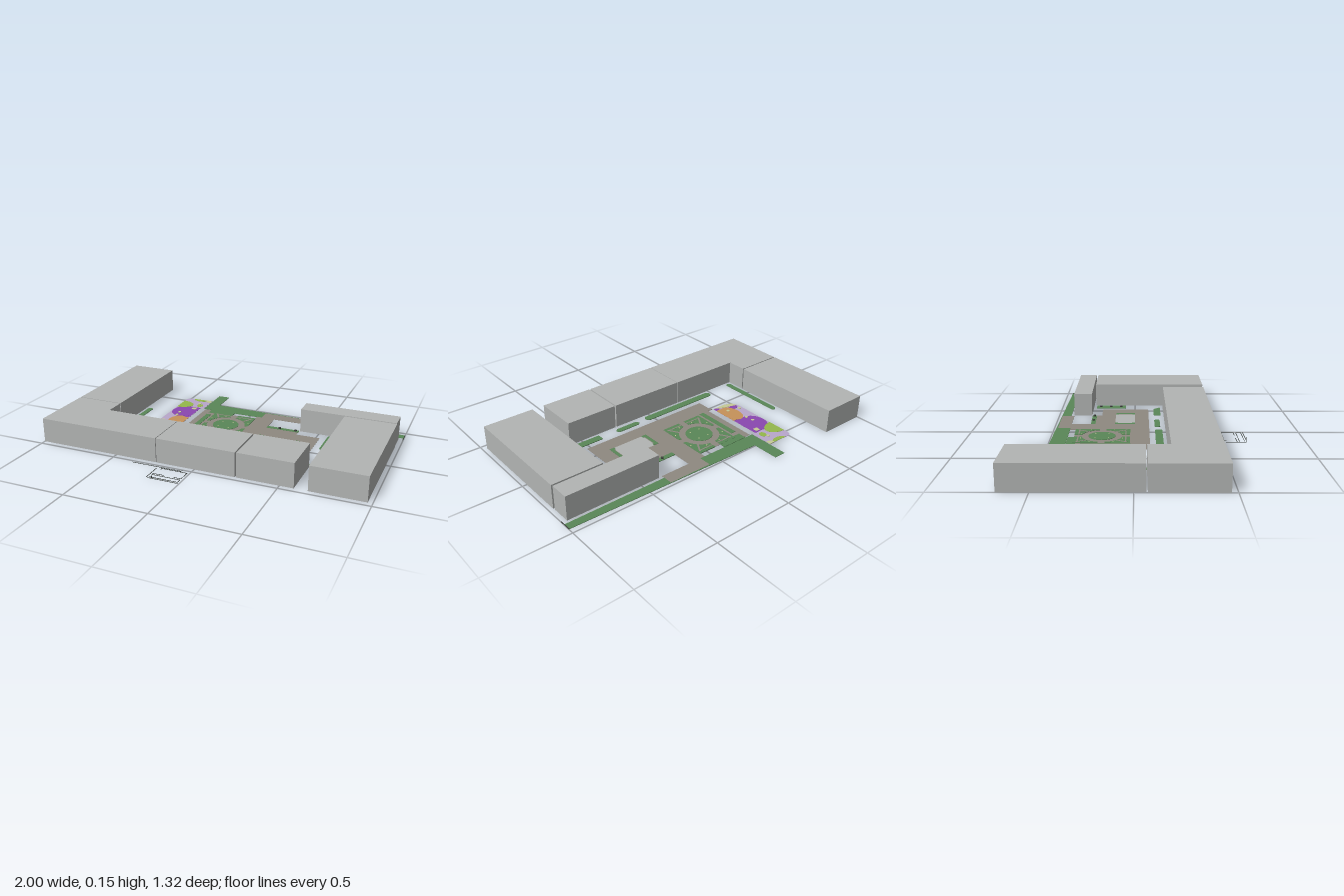
import * as THREE from 'three';

const mat = (name, color) => {
  const m = new THREE.MeshStandardMaterial({ color });
  m.name = name;
  return m;
};

export function createModel() {
  const root = new THREE.Group();
  root.name = 'courtyardSitePlan';
  const M = {
    wall: mat('building grey', 0xb2b4b3),
    paving: mat('paving taupe', 0x8f8981),
    lawn: mat('lawn green', 0x5a8757),
    lilac: mat('lilac', 0xb9a8cb),
    purple: mat('purple', 0x8a47b0),
    orange: mat('orange', 0xc6925a),
    lime: mat('lime', 0x94b84a),
    khaki: mat('khaki', 0xc6ca96),
    dark: mat('dark grey', 0x3c403c),
  };

  // Plan outline in (x, z), extruded upward from y0 to y1
  const slab = (name, material, shape, y0, y1, parent = root) => {
    const g = new THREE.ExtrudeGeometry(shape, { depth: y1 - y0, bevelEnabled: false, curveSegments: 20 });
    g.rotateX(-Math.PI / 2).translate(0, y0, 0);
    const mesh = new THREE.Mesh(g, material);
    mesh.name = name;
    parent.add(mesh);
    return mesh;
  };
  const poly = (pts) => new THREE.Shape(pts.map(([x, z]) => new THREE.Vector2(x, -z)));
  const rect = (x0, x1, z0, z1) => poly([[x0, z0], [x0, z1], [x1, z1], [x1, z0]]);
  const oval = (x, z, rx, rz, a0 = 0, a1 = Math.PI * 2) => {
    const s = new THREE.Shape();
    s.absellipse(x, -z, rx, rz, a0, a1, false, 0);
    return s;
  };
  // Strip with chamfered ends
  const strip = (x0, x1, z0, z1, c = 0.012) => poly([
    [x0 + c, z0], [x0, z0 + c], [x0, z1 - c], [x0 + c, z1],
    [x1 - c, z1], [x1, z1 - c], [x1, z0 + c], [x1 - c, z0]]);

  // Surrounding blocks
  const H = 0.148;
  const blocks = new THREE.Group();
  blocks.name = 'buildings';
  root.add(blocks);
  [
    rect(-1, -0.705, -0.662, 0.06),
    poly([[-1, 0.067], [-1, 0.467], [-0.24, 0.467], [-0.24, 0.19], [-0.705, 0.19], [-0.705, 0.067]]),
    rect(-0.236, 0.243, 0.19, 0.467),
    rect(0.252, 0.58, 0.19, 0.467),
    rect(0.657, 0.973, -0.272, 0.467),
    rect(0.38, 0.97, -0.4, -0.283),
  ].forEach((s, i) => slab('building' + (i + 1), M.wall, s, 0, H, blocks));

  // Paved square, with an opening for the basin, and the rear forecourt
  const plaza = poly([
    [-0.32, -0.392], [-0.278, -0.392], [-0.278, -0.345], [-0.11, -0.345], [-0.11, -0.362],
    [0.047, -0.362], [0.047, -0.4], [0.167, -0.4], [0.167, -0.25], [0.375, -0.25],
    [0.375, -0.217], [0.525, -0.217], [0.525, 0.09], [-0.345, 0.09], [-0.345, 0],
    [-0.355, 0], [-0.355, -0.022], [-0.32, -0.022]]);
  plaza.holes.push(rect(0.19, 0.405, -0.125, 0));
  slab('plaza', M.paving, plaza, 0.001, 0.003);
  slab('forecourt', M.paving, rect(0.08, 0.36, -0.478, -0.4), 0.001, 0.003);
  slab('basin', M.wall, strip(0.19, 0.405, -0.125, 0, 0.01), 0.001, 0.003);

  // Bracket hedges at both ends of the basin
  for (const s of [-1, 1]) {
    const X = (d) => 0.298 + s * d;
    const pts = [[X(0.1), -0.125], [X(0.132), -0.125], [X(0.132), 0], [X(0.1), 0],
      [X(0.1), -0.018], [X(0.112), -0.018], [X(0.112), -0.107], [X(0.1), -0.107]];
    slab('basinHedge', M.lawn, poly(pts), 0, 0.005);
  }

  // Lawns behind the square
  slab('rearLawn', M.lawn, poly([[-0.335, -0.662], [-0.335, -0.4], [0.08, -0.4],
    [0.08, -0.487], [-0.262, -0.496], [-0.262, -0.662]]), 0, 0.003);
  slab('rearLawnStrip', M.lawn, poly([[0.08, -0.487], [0.08, -0.478], [0.36, -0.478], [0.36, -0.42],
    [1, -0.42], [1, -0.465]]), 0, 0.003);
  slab('rearPost', M.dark, rect(0.997, 1, -0.465, -0.392), 0, 0.004);

  // Verge strips
  [
    strip(-0.685, -0.652, -0.27, 0.172),
    strip(-0.482, 0.05, 0.125, 0.17),
    strip(0.11, 0.275, 0.125, 0.16),
    poly([[0.39, 0.125], [0.39, 0.17], [0.583, 0.17], [0.538, 0.125]]),
    rect(0.167, 0.375, -0.279, -0.25),
    strip(0.565, 0.635, -0.263, -0.063, 0.006),
  ].forEach((s) => slab('verge', M.lawn, s, 0, 0.004));
  for (const [x, z] of [[0.6, -0.235], [0.6, -0.165], [0.6, -0.095], [0.25, -0.265], [0.355, -0.265]])
    slab('bollard', M.dark, oval(x, z, 0.008, 0.008), 0.003, 0.012);

  // Formal garden: corner beds around a ring path and a round bed
  const garden = new THREE.Group();
  garden.name = 'formalGarden';
  root.add(garden);
  const cx = -0.09, cz = -0.195, p = 0.02, r = 0.122;
  for (const sx of [-1, 1]) for (const sz of [-1, 1]) {
    const a0 = Math.asin(p / r);
    const at = (x, z) => [cx + sx * x, cz + sz * z];
    const pts = [at(0.14, p), at(0.14, 0.168), at(p, 0.168)];
    for (let i = 0; i <= 12; i++) {
      const a = Math.PI / 2 - a0 - (Math.PI / 2 - 2 * a0) * i / 12;
      pts.push(at(r * Math.cos(a), r * Math.sin(a)));
    }
    slab('cornerBed', M.lawn, poly(pts), 0, 0.005, garden);
    // Narrow walks dividing each bed
    slab('bedWalk', M.paving, poly([at(0.082, 0.09), at(0.09, 0.082), at(0.128, 0.146), at(0.12, 0.154)]), -0, 0.0056, garden);
    slab('bedWalk', M.paving, poly([at(p, 0.138), at(0.12, 0.138), at(0.12, 0.146), at(p, 0.146)]), 0, 0.0054, garden);
    for (const [x, z] of [[0.05, 0.125], [0.125, 0.07], [0.035, 0.04]])
      slab('flower', M.khaki, oval(...at(x, z), 0.004, 0.004), 0.004, 0.0065, garden);
  }
  slab('roundBed', M.lawn, oval(cx, cz, 0.082, 0.082), 0, 0.005, garden);
  slab('sideBed', M.lawn, rect(-0.278, -0.246, -0.315, -0.022), 0, 0.005, garden);
  slab('backBed', M.lawn, rect(-0.278, -0.11, -0.398, -0.345), 0, 0.004, garden);

  // Play ground with rounded outer corners and coloured patches
  const play = new THREE.Group();
  play.name = 'playground';
  root.add(play);
  const base = new THREE.Shape();
  base.moveTo(-0.34, 0.545).lineTo(-0.49, 0.545).quadraticCurveTo(-0.523, 0.545, -0.523, 0.51);
  base.lineTo(-0.523, 0.1).quadraticCurveTo(-0.52, 0.025, -0.44, 0.025);
  base.lineTo(-0.36, 0.025).lineTo(-0.36, 0.4).lineTo(-0.34, 0.4);
  slab('playBase', M.lilac, base, 0.001, 0.002, play);
  const h = Math.PI / 2;
  slab('limePatch', M.lime, oval(-0.522, -0.425, 0.09, 0.06, -h, h), 0, 0.0035, play);
  slab('limePatch', M.lime, oval(-0.42, -0.544, 0.05, 0.03, Math.PI, 2 * Math.PI), 0, 0.0035, play);
  slab('limePatch', M.lime, oval(-0.385, -0.44, 0.02, 0.025), 0, 0.0032, play);
  slab('purplePatch', M.purple, oval(-0.44, -0.31, 0.08, 0.092), 0, 0.003, play);
  slab('purplePatch', M.purple, rect(-0.41, -0.362, -0.4, -0.215), 0, 0.0027, play);
  slab('orangePatch', M.orange, oval(-0.415, -0.14, 0.055, 0.085), 0, 0.0038, play);
  slab('orangePatch', M.orange, rect(-0.415, -0.361, -0.215, -0.055), 0, 0.0034, play);
  slab('purplePatch', M.purple, rect(-0.39, -0.361, -0.055, -0.03), 0, 0.003, play);
  slab('purplePatch', M.purple, oval(-0.475, -0.085, 0.035, 0.02), 0, 0.0032, play);
  slab('khakiCorner', M.khaki, poly([[-0.515, -0.08], [-0.5, -0.045], [-0.45, -0.027],
    [-0.37, -0.027], [-0.43, -0.055]]), 0, 0.0042, play);
  slab('khakiCorner', M.khaki, poly([[-0.341, -0.544], [-0.385, -0.544], [-0.37, -0.52], [-0.341, -0.51]]), 0, 0.0044, play);
  slab('khakiSquare', M.khaki, rect(-0.412, -0.382, -0.39, -0.36), 0, 0.0044, play);
  for (const [x, z] of [[-0.46, -0.28], [-0.455, -0.23], [-0.5, -0.12], [-0.4, -0.47], [-0.42, -0.1]])
    slab('playSpot', M.khaki, oval(x, z, 0.01, 0.01), 0.002, 0.005, play);

  // Thin outline of kerbs in front of the blocks
  const kerbs = new THREE.Group();
  kerbs.name = 'frontKerbs';
  root.add(kerbs);
  const t = 0.0015;
  [[-0.362, -0.06, 0.517, 0.517], [-0.055, -0.055, 0.507, 0.52], [-0.17, -0.015, 0.527, 0.527],
    [-0.2, -0.2, 0.535, 0.652], [-0.015, -0.015, 0.527, 0.6], [-0.19, -0.12, 0.6, 0.6],
    [-0.06, -0.015, 0.6, 0.6], [-0.185, -0.015, 0.615, 0.615], [-0.185, -0.015, 0.645, 0.645],
    [-0.19, -0.01, 0.657, 0.657], [-0.015, -0.015, 0.615, 0.645], [-0.17, -0.17, 0.515, 0.54],
  ].forEach(([x0, x1, z0, z1]) => slab('kerb', M.dark, rect(x0 - t, x1 + t, z0 - t, z1 + t), 0, 0.002, kerbs));
  slab('kerbPost', M.dark, rect(-0.167, -0.164, 0.655, 0.658), 0, 0.02, kerbs);

  return root;
}
